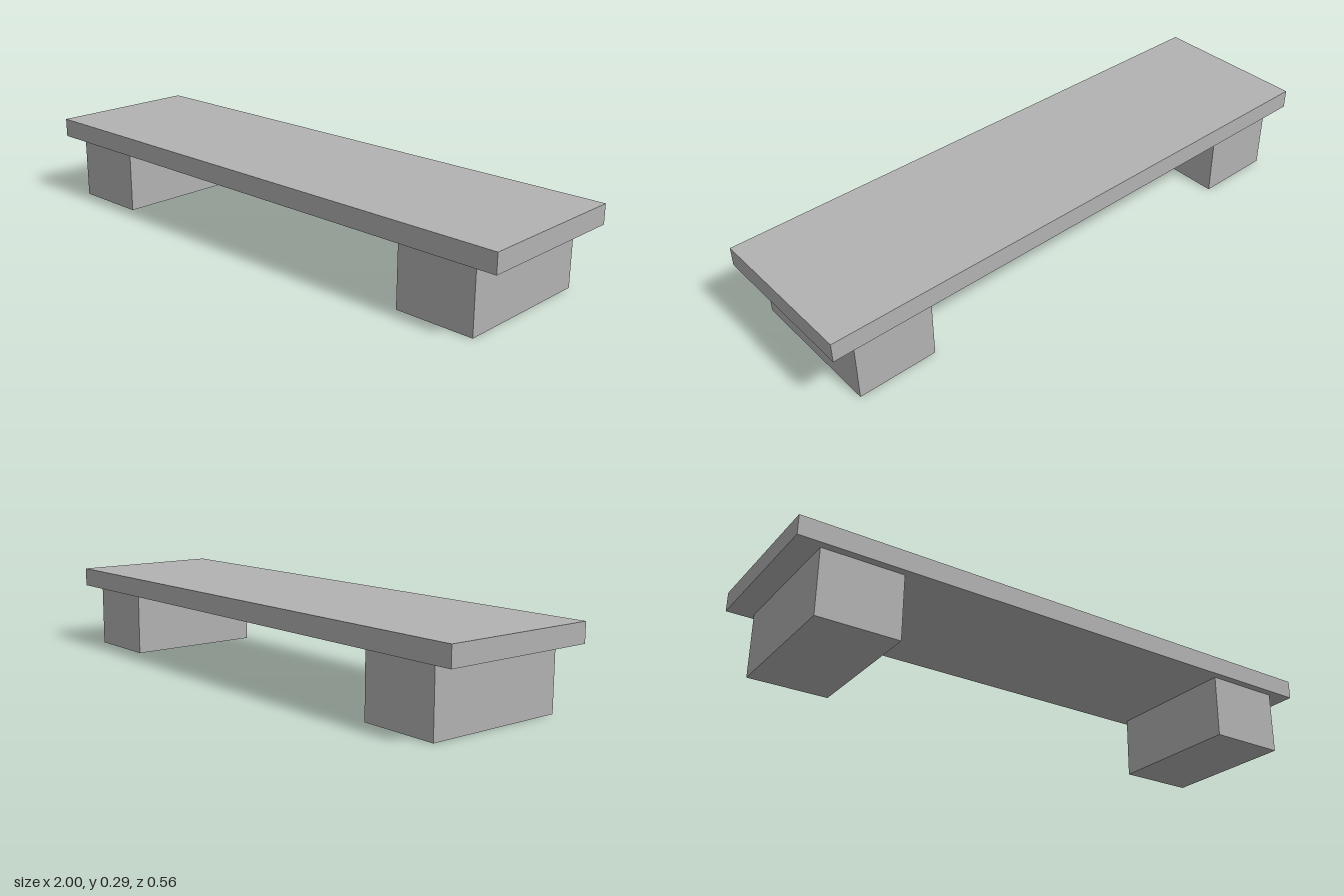
import * as THREE from 'three';

export function createModel() {
  const bench = new THREE.Group();
  bench.name = 'bench';

  const stone = new THREE.MeshStandardMaterial({ color: 0xb2b2b2 });
  stone.name = 'grey stone';

  const legHeight = 0.223;
  const slabHeight = 0.067;

  const addBlock = (name, width, height, depth, x, bottom) => {
    const block = new THREE.Mesh(new THREE.BoxGeometry(width, height, depth), stone);
    block.name = name;
    block.position.set(x, bottom + height / 2, 0);
    bench.add(block);
  };

  // Long flat seat overhanging the legs
  addBlock('seat', 2, slabHeight, 0.556, 0, legHeight);

  // Two solid block legs, mirrored about the middle
  for (const side of [1, -1]) {
    addBlock(side > 0 ? 'leftLeg' : 'rightLeg', 0.278, legHeight, 0.502, side * 0.777, 0);
  }

  return bench;
}
